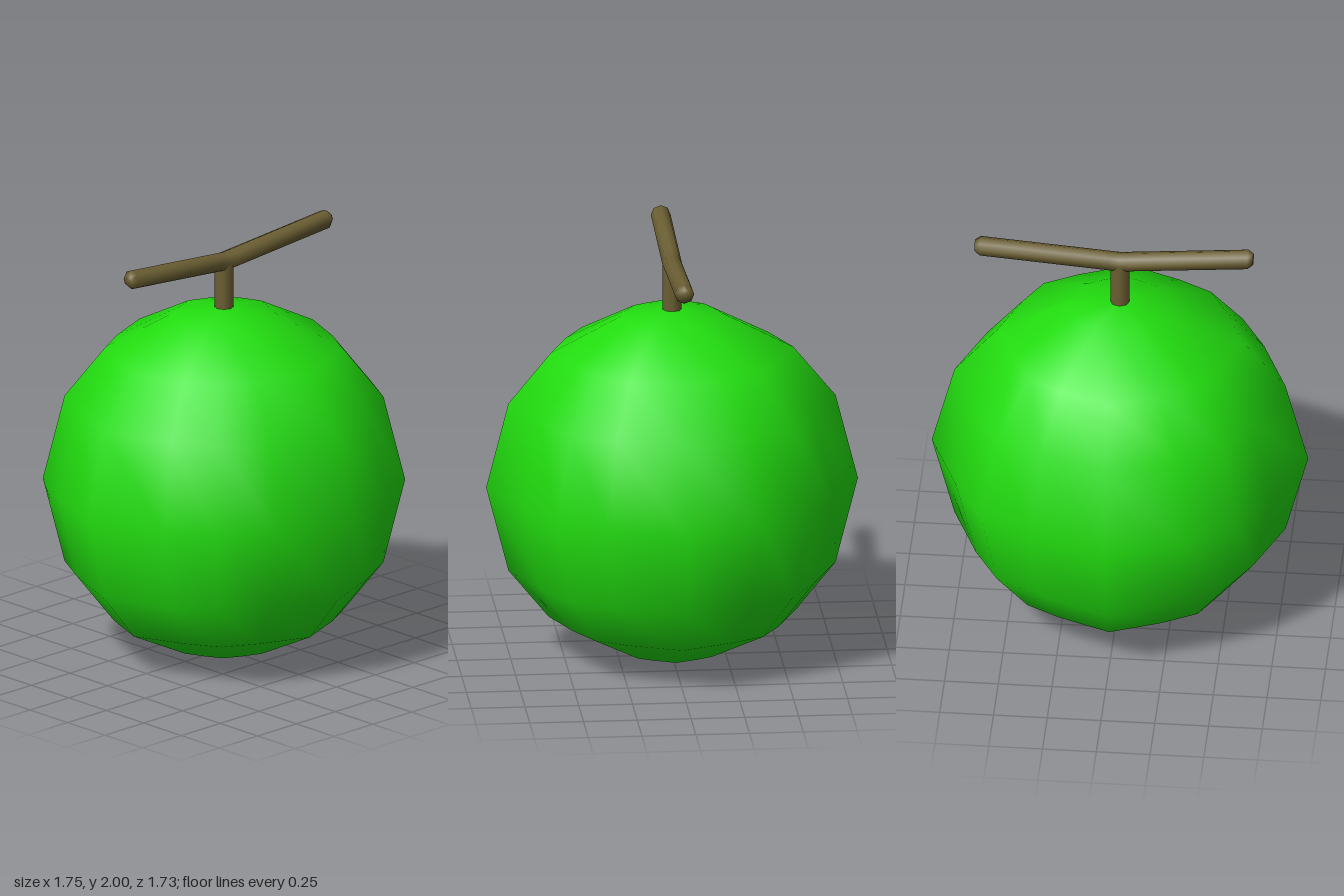
import * as THREE from 'three';
import { mergeVertices } from 'three/addons/utils/BufferGeometryUtils.js';

const points = (list) => list.map(([r, y]) => new THREE.Vector2(r, y));

// Weld the seam and poles so the shading runs smoothly around the form
function weld(geometry) {
  geometry.deleteAttribute('uv');
  geometry.deleteAttribute('normal');
  const welded = mergeVertices(geometry, 1e-4);
  welded.computeVertexNormals();
  return welded;
}

// Sixteen-sided fruit whose cross-section is slightly squared between the four axes
function fruitGeometry() {
  const geometry = new THREE.LatheGeometry(points([
    [0, 0], [0.255, 0.04], [0.58, 0.2], [0.77, 0.43], [0.875, 0.835],
    [0.77, 1.24], [0.57, 1.48], [0.24, 1.65], [0, 1.685],
  ]), 16);
  // Angle and relative radius of the four sides in each quadrant
  const angles = [0, 26.2, 45, 63.8].map(THREE.MathUtils.degToRad);
  const radii = [1, 0.93, 0.965, 0.93];
  const pos = geometry.attributes.position;
  for (let i = 0; i < pos.count; i++) {
    const r = Math.hypot(pos.getX(i), pos.getZ(i));
    const step = Math.floor(i / 9) % 16;
    const a = Math.floor(step / 4) * Math.PI / 2 + angles[step % 4];
    const s = r * radii[step % 4];
    pos.setX(i, s * Math.sin(a));
    pos.setZ(i, s * Math.cos(a) * 0.988);
  }
  return weld(geometry);
}

// Crossbar with bevelled ends, bent upward from the middle
function crossbarGeometry() {
  const geometry = new THREE.LatheGeometry(points([
    [0, -0.62], [0.027, -0.62], [0.046, -0.595], [0.046, -0.05], [0.046, 0],
    [0.046, 0.05], [0.046, 0.65], [0.027, 0.675], [0, 0.675],
  ]), 8);
  geometry.rotateZ(-Math.PI / 2);
  const pos = geometry.attributes.position;
  for (let i = 0; i < pos.count; i++) {
    pos.setY(i, pos.getY(i) + 1.9 + 0.085 * Math.abs(pos.getX(i)));
  }
  // Keep both bar tips at the same height
  for (let i = 0; i < pos.count; i++) {
    if (pos.getX(i) > 0) pos.setY(i, pos.getY(i) - 0.007 * pos.getX(i));
  }
  return weld(geometry);
}

export function createModel() {
  const model = new THREE.Group();
  const green = new THREE.MeshStandardMaterial({ color: 0x22dd0f });
  const brown = new THREE.MeshStandardMaterial({ color: 0x6b5f33 });

  const add = (name, geometry, material) => {
    const mesh = new THREE.Mesh(geometry, material);
    mesh.name = name;
    model.add(mesh);
    return mesh;
  };

  add('fruit', fruitGeometry(), green);
  add('stem', new THREE.CylinderGeometry(0.045, 0.045, 0.24, 8), brown).position.y = 1.78;
  add('crossbar', crossbarGeometry(), brown);
  return model;
}
